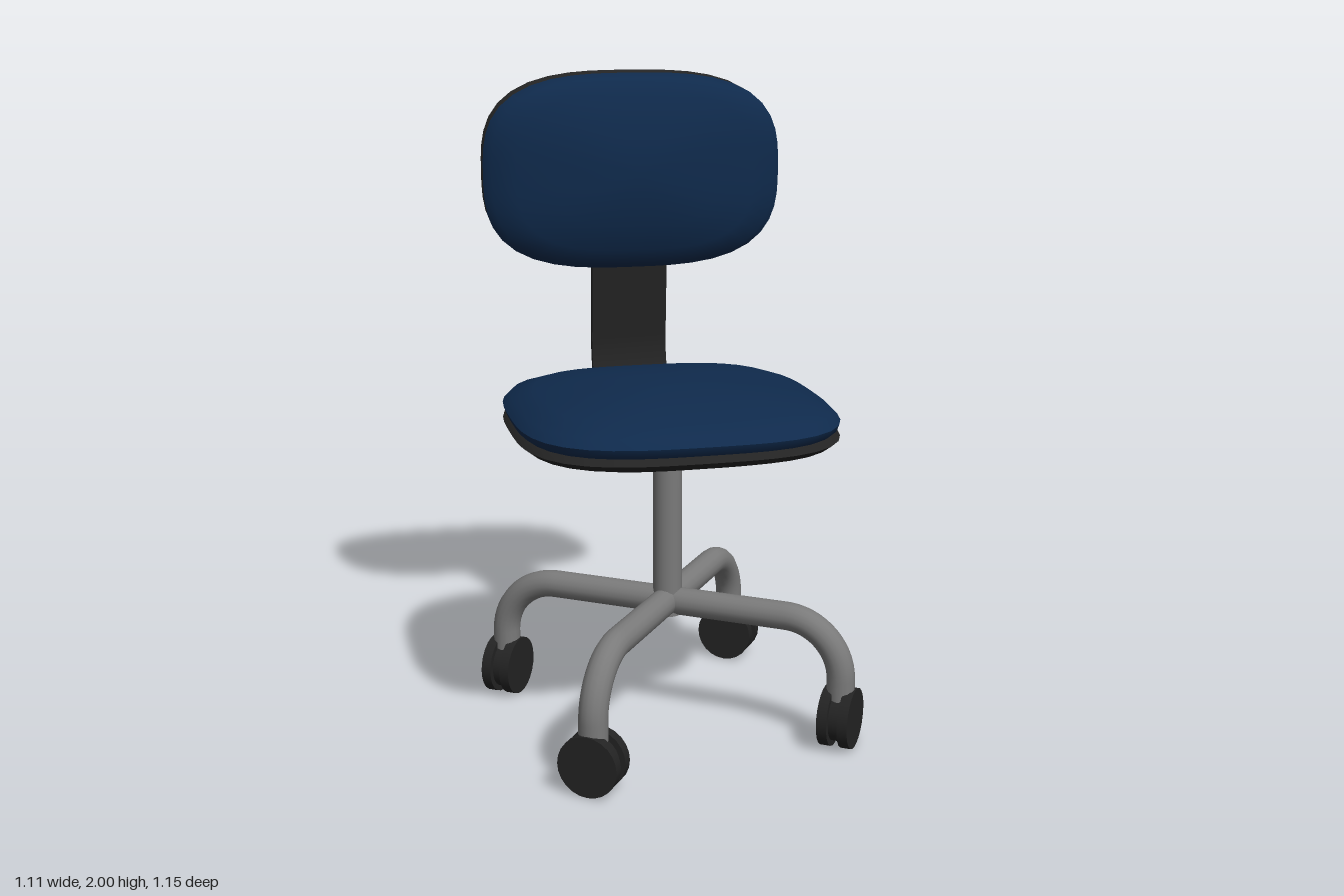
import * as THREE from 'three';
import { toCreasedNormals } from 'three/addons/utils/BufferGeometryUtils.js';

const mat = (name, color) => {
  const m = new THREE.MeshStandardMaterial({ color });
  m.name = name;
  return m;
};

// Cushion shape: superellipse rings given as [scale, height], from bottom to top.
function padGeometry(halfW, halfD, n, rings, segs = 48) {
  const pos = [], idx = [];
  for (const [s, y] of rings) {
    for (let j = 0; j < segs; j++) {
      const a = (j / segs) * Math.PI * 2, c = Math.cos(a), q = Math.sin(a);
      const r = s * Math.pow(Math.abs(c) ** n + Math.abs(q) ** n, -1 / n);
      pos.push(halfW * r * c, y, halfD * r * q);
    }
  }
  for (let i = 0; i < rings.length - 1; i++) {
    for (let j = 0; j < segs; j++) {
      const a = i * segs + j, b = i * segs + ((j + 1) % segs);
      idx.push(a, a + segs, b, b, a + segs, b + segs);
    }
  }
  const g = new THREE.BufferGeometry();
  g.setAttribute('position', new THREE.Float32BufferAttribute(pos, 3));
  g.setIndex(idx);
  return toCreasedNormals(g, 0.9);
}

// Flat strip following a curve in the z-y plane, extruded across x.
function stripGeometry(points, thickness, width) {
  const curve = new THREE.SplineCurve(points.map(([z, y]) => new THREE.Vector2(z, y)));
  const left = [], right = [];
  for (let i = 0; i <= 24; i++) {
    const p = curve.getPoint(i / 24), t = curve.getTangent(i / 24);
    const off = new THREE.Vector2(-t.y, t.x).multiplyScalar(thickness / 2);
    left.push(p.clone().add(off));
    right.unshift(p.clone().sub(off));
  }
  const g = new THREE.ExtrudeGeometry(new THREE.Shape([...left, ...right]), { depth: width, bevelEnabled: false });
  g.rotateY(-Math.PI / 2);
  g.translate(width / 2, 0, 0);
  return toCreasedNormals(g, 0.6);
}

export function createModel() {
  const fabric = mat('navy fabric', 0x0f2a4c);
  const plastic = mat('black plastic', 0x232323);
  const metal = mat('grey metal', 0x7a7a7a);

  const model = new THREE.Group();
  model.name = 'officeChair';
  const add = (parent, name, geometry, material) => {
    const m = new THREE.Mesh(geometry, material);
    m.name = name;
    parent.add(m);
    return m;
  };
  const cz = 0.02; // the base and seat sit slightly forward

  // Seat
  const seat = new THREE.Group();
  seat.name = 'seat';
  seat.position.z = cz;
  model.add(seat);
  add(seat, 'seatCushion', padGeometry(0.485, 0.485, 3.2, [
    [0, 0.978], [0.955, 0.978], [0.985, 0.99], [1, 1.01], [0.95, 1.036],
    [0.8, 1.062], [0.55, 1.086], [0.28, 1.102], [0, 1.107]]), fabric);
  add(seat, 'seatShell', padGeometry(0.485, 0.485, 3.2, [
    [0, 0.895], [0.3, 0.899], [0.6, 0.91], [0.85, 0.928], [0.95, 0.943],
    [1, 0.963], [0.96, 0.982], [0, 0.982]]), plastic);

  // Backrest: same construction, turned upright
  const back = new THREE.Group();
  back.name = 'backrest';
  back.position.y = 1.683;
  back.rotation.x = Math.PI / 2;
  model.add(back);
  add(back, 'backCushion', padGeometry(0.485, 0.31, 3, [
    [0, -0.488], [0.955, -0.488], [0.985, -0.465], [1, -0.443], [0.95, -0.415],
    [0.8, -0.388], [0.55, -0.362], [0.28, -0.346], [0, -0.341]]), fabric);
  const shell = add(back, 'backShell', padGeometry(0.483, 0.31, 3, [
    [0, -0.573], [0.3, -0.569], [0.6, -0.557], [0.85, -0.537], [0.95, -0.523],
    [1, -0.503], [0.97, -0.484], [0, -0.484]]), plastic);
  shell.position.z = -0.007;

  // Curved strip joining seat and backrest
  add(model, 'backBracket', stripGeometry([
    [-0.38, 0.94], [-0.46, 0.962], [-0.51, 1.012], [-0.531, 1.09],
    [-0.528, 1.18], [-0.519, 1.32], [-0.511, 1.46]], 0.02, 0.25), plastic);

  // Column
  const column = add(model, 'column', new THREE.CylinderGeometry(0.045, 0.045, 0.57, 24), metal);
  column.position.set(0, 0.635, cz);

  // Four bent legs, each with a twin-wheel caster
  const V = (x, y) => new THREE.Vector3(x, y, 0);
  const reach = 0.567, top = 0.393, bend = 0.18, k = bend * 0.448;
  const path = new THREE.CurvePath();
  path.add(new THREE.LineCurve3(V(0, top), V(reach - bend, top)));
  path.add(new THREE.CubicBezierCurve3(V(reach - bend, top), V(reach - k, top), V(reach, top - k), V(reach, top - bend)));
  path.add(new THREE.LineCurve3(V(reach, top - bend), V(reach, 0.12)));
  const legGeo = new THREE.TubeGeometry(path, 40, 0.043, 16);

  const wheelGeo = new THREE.CylinderGeometry(0.093, 0.093, 0.032, 24).rotateZ(Math.PI / 2);
  const hubGeo = new THREE.CylinderGeometry(0.075, 0.075, 0.05, 24).rotateZ(Math.PI / 2);

  for (let i = 0; i < 4; i++) {
    const leg = new THREE.Group();
    leg.name = 'leg' + (i + 1);
    leg.position.z = cz;
    leg.rotation.y = -0.622 - (i * Math.PI) / 2;
    model.add(leg);
    add(leg, 'legTube', legGeo, metal);
    add(leg, 'casterHub', hubGeo, plastic).position.set(reach, 0.093, 0);
    for (const s of [-1, 1]) {
      add(leg, 'casterWheel', wheelGeo, plastic).position.set(reach + s * 0.032, 0.093, 0);
    }
  }
  return model;
}
